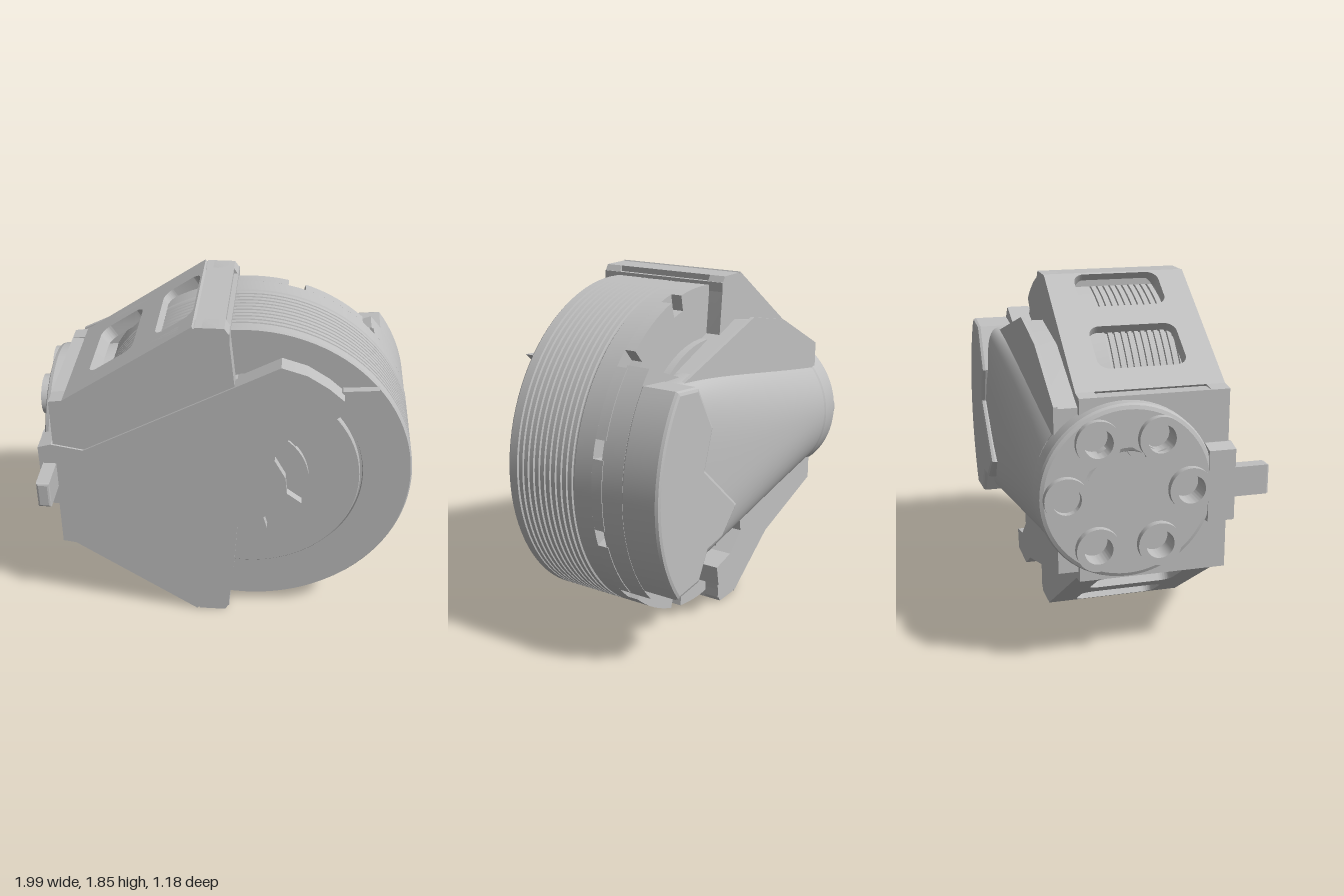
import * as THREE from 'three';
import { toCreasedNormals } from 'three/addons/utils/BufferGeometryUtils.js';

const CX = 0.122, CY = 0.925; // drum axis

export function createModel() {
  const model = new THREE.Group();
  const grey = new THREE.MeshStandardMaterial({ color: 0xc0c0c0 });
  grey.name = 'light grey';

  const add = (name, geometry, parent = model) => {
    const mesh = new THREE.Mesh(toCreasedNormals(geometry, 0.3), grey);
    mesh.name = name;
    parent.add(mesh);
    return mesh;
  };
  const shapeOf = (pts) => new THREE.Shape(pts.map(([x, y]) => new THREE.Vector2(x, y)));
  // Extrudes a shape from z0 to z1, with an optional rounded edge
  const slab = (shape, z0, z1, bevel = 0) => new THREE.ExtrudeGeometry(shape, {
    depth: z1 - z0 - 2 * bevel, curveSegments: 32, bevelEnabled: bevel > 0,
    bevelSize: bevel, bevelOffset: -bevel, bevelThickness: bevel, bevelSegments: 2,
  }).translate(0, 0, z0 + bevel);
  const box = (x0, x1, y0, y1, z0, z1) => new THREE.BoxGeometry(x1 - x0, y1 - y0, z1 - z0)
    .translate((x0 + x1) / 2, (y0 + y1) / 2, (z0 + z1) / 2);
  const arc = (r, a0, a1, n = 24) => Array.from({ length: n + 1 }, (_, i) => {
    const a = THREE.MathUtils.degToRad(a0 + (a1 - a0) * i / n);
    return [CX + r * Math.cos(a), CY + r * Math.sin(a)];
  });

  // Ribbed drum, turned about the z axis
  const profile = [[0, -0.21], [0.872, -0.21], [0.872, -0.11]];
  for (let i = 0; i < 11; i++) {
    const z = -0.1 + i * 0.034;
    profile.push([0.862, z], [0.862, z + 0.006], [0.872, z + 0.009], [0.872, z + 0.03]);
  }
  profile.push([0.872, 0.295], [0.864, 0.305], [0.615, 0.305], [0.612, 0.29],
    [0.6, 0.29], [0.6, 0.325], [0.595, 0.33], [0, 0.33]);
  add('drum', new THREE.LatheGeometry(profile.map(([r, y]) => new THREE.Vector2(r, y)), 96)
    .rotateX(Math.PI / 2).translate(CX, CY, 0));

  // Rear rim with twelve notches
  const rim = [];
  for (let k = 0; k < 12; k++) {
    const a = 15 + k * 30;
    rim.push(...arc(0.79, a - 3, a + 3, 2), ...arc(0.872, a + 3.1, a + 26.9, 8));
  }
  add('notchedRim', slab(shapeOf(rim), -0.27, -0.21));
  add('rearStep', slab(shapeOf(arc(0.6, 0, 354, 59)), -0.31, -0.26));

  // Front hub and the raised strip beside the lever plate
  add('hub', slab(shapeOf(arc(0.33, 0, 354, 59)), 0.32, 0.36));
  add('frontStrip', slab(shapeOf([[0.25, 1.02], [0.37, 1.13], [0.78, 1.495], [0.6, 1.48], [0.2, 1.2]]), 0.29, 0.345));

  // Bracket around the drum: front and rear cheeks
  const bracket = new THREE.Group();
  bracket.name = 'bracket';
  model.add(bracket);
  const upper = [[0.08, 1.2], [0.06, 1.52], [0.03, 1.81], [0.01, 1.84], [-0.1, 1.84],
    [-0.16, 1.83], [-0.22, 1.795], [-0.82, 1.39], [-0.89, 1.38]];
  const lower = upper.map(([x, y]) => [x, 1.84 - y]).reverse();
  add('frontCheek', slab(shapeOf([...upper, ...lower]), 0.3, 0.395), bracket);
  add('rearCheek', slab(shapeOf([...upper, ...lower]), -0.35, -0.26), bracket);
  add('endWall', box(-0.89, -0.84, 0.46, 1.38, -0.34, 0.39), bracket);

  // Sloping bracket walls, each with two rounded windows
  const roundHole = (x0, x1, y0, y1, r) => {
    const p = new THREE.Path();
    p.absarc(x0 + r, y0 + r, r, Math.PI, Math.PI * 1.5);
    p.absarc(x1 - r, y0 + r, r, Math.PI * 1.5, Math.PI * 2);
    p.absarc(x1 - r, y1 - r, r, 0, Math.PI / 2);
    p.absarc(x0 + r, y1 - r, r, Math.PI / 2, Math.PI);
    return p;
  };
  const slope = Math.atan2(0.405, 0.6), k = 1 / Math.cos(slope);
  for (const side of [1, -1]) {
    const wall = new THREE.Group();
    wall.name = side > 0 ? 'upperWall' : 'lowerWall';
    wall.position.set(0, 0.92, 0.0225);
    if (side < 0) wall.rotation.x = Math.PI;
    bracket.add(wall);
    const panel = shapeOf([[0, -0.3725], [0.672 * k, -0.3725], [0.672 * k, 0.3725], [0, 0.3725]]);
    panel.holes.push(roundHole(0.115 * k, 0.35 * k, -0.225, 0.225, 0.06),
      roundHole(0.465 * k, 0.662 * k, -0.225, 0.225, 0.06));
    add('windowPanel', slab(panel, -0.07, 0).rotateX(-Math.PI / 2).rotateZ(slope)
      .translate(-0.82, 0.47, 0), wall);
    add('ridge', box(-0.135, 0.01, 0.85, 0.92, -0.3725, 0.3725), wall);
    add('lip', box(0.0, 0.035, 0.84, 0.89, -0.3725, 0.3725), wall);
    add('shoulder', box(-0.89, -0.81, 0.4, 0.46, -0.3725, 0.3725), wall);
  }

  // Rear flange with a cutout, and the thin plate over it
  add('rearFlange', slab(shapeOf([[-0.86, 1.33], [-0.44, 1.54], [-0.1, 1.6], [0.5, 1.38],
    [0.4, 1.0], [0.2, 0.7], [0.0, 0.62], [-0.03, 0.44], [0.08, 0.34], [0.22, 0.31], [0.2, 0.2],
    [-0.02, 0.2], [-0.14, 0.28], [-0.86, 0.5]]), -0.45, -0.26));
  add('rearPlate', slab(shapeOf([[-0.86, 1.34], [-0.44, 1.55], [-0.1, 1.62], [0.64, 1.4],
    [0.5, 0.9], [-0.86, 0.9]]), -0.465, -0.445));

  // Front lever plate with toothed hub edge
  add('frontPlate', slab(shapeOf([[-0.97, 0.74], [-0.9, 0.73], [-0.65, 0.765], [0, 0.62], [0.02, 0.66],
    [0.08, 0.64], [0.1, 0.6], [0.2, 0.605], [0.24, 0.63], [0.22, 0.7], [0.28, 0.78], [0.37, 0.74],
    [0.42, 0.81], [0.34, 0.87], [0.33, 0.97], [0.27, 1.08], [0.28, 1.16], [0.61, 1.46],
    [0.53, 1.53], [0.42, 1.6], [0.29, 1.64], [-0.73, 1.09], [-0.9, 1.12], [-0.97, 1.1]]), 0.27, 0.405));
  add('peg', slab(shapeOf([[-0.95, 0.85], [-0.88, 0.85], [-0.88, 1.0], [-0.95, 1.0]]), 0.38, 0.59, 0.012));

  // Tapering rear arm: round and open at the nozzle, flat at the cap
  const arm = new THREE.CylinderGeometry(1, 1, 1, 96, 10, true).rotateZ(Math.PI / 2);
  const pos = arm.attributes.position;
  for (let i = 0; i < pos.count; i++) {
    const t = pos.getX(i) + 0.5, e = 1 - 0.45 * t;
    const bulge = (v) => Math.sign(v) * Math.pow(Math.abs(v), e);
    const d = 0.43 - 0.29 * t, h = 0.435 + 0.065 * t;
    pos.setXYZ(i, -0.82 + 1.46 * t, CY + h * bulge(pos.getY(i)), -0.56 + d + d * bulge(pos.getZ(i)));
  }
  add('rearArm', arm);

  // Sector base and cap at the end of the arm
  add('capBase', slab(shapeOf([...arc(0.868, -43, 43), [0.5, 1.42], [0.4, 0.95], [0.5, 0.42]]), -0.385, -0.26));
  add('cap', slab(shapeOf([...arc(0.868, -37, 37), [0.64, 1.43], [0.5, 1.2], [0.57, 1.0],
    [0.25, 0.72], [0.4, 0.58], [0.54, 0.56], [0.62, 0.42]]), -0.588, -0.37, 0.02));

  // Nozzle: rounded face, fluted centre bore and six tubes, facing -x
  const nozzle = new THREE.Group();
  nozzle.name = 'nozzle';
  nozzle.position.set(-0.78, CY, -0.13);
  nozzle.rotation.y = -Math.PI / 2;
  model.add(nozzle);
  const disc = (x, y, r, Kind = THREE.Path) => {
    const p = new Kind();
    p.absarc(x, y, r, 0, Math.PI * 2);
    return p;
  };
  const face = disc(0, 0, 0.435, THREE.Shape);
  face.holes.push(disc(0, 0, 0.2));
  for (let i = 0; i < 6; i++) {
    const a = i * Math.PI / 3, x = 0.305 * Math.cos(a), y = 0.305 * Math.sin(a);
    face.holes.push(disc(x, y, 0.08));
    const tube = disc(x, y, 0.108, THREE.Shape);
    tube.holes.push(disc(x, y, 0.07));
    add('tube', slab(tube, -0.06, 0.22), nozzle);
  }
  add('nozzleFace', slab(face, 0.03, 0.185, 0.025), nozzle);
  const bore = disc(0, 0, 0.24, THREE.Shape);
  bore.holes.push(new THREE.Path(Array.from({ length: 48 }, (_, i) => {
    const r = i % 4 < 2 ? 0.2 : 0.17, a = i * Math.PI / 24;
    return new THREE.Vector2(r * Math.cos(a), r * Math.sin(a));
  })));
  add('flutedBore', slab(bore, -0.25, 0.15), nozzle);
  add('boreFloor', slab(disc(0, 0, 0.25, THREE.Shape), -0.27, -0.25), nozzle);
  add('tubeFloor', slab((() => {
    const ring = disc(0, 0, 0.4, THREE.Shape);
    ring.holes.push(disc(0, 0, 0.23));
    return ring;
  })(), -0.08, -0.06), nozzle);

  return model;
}
